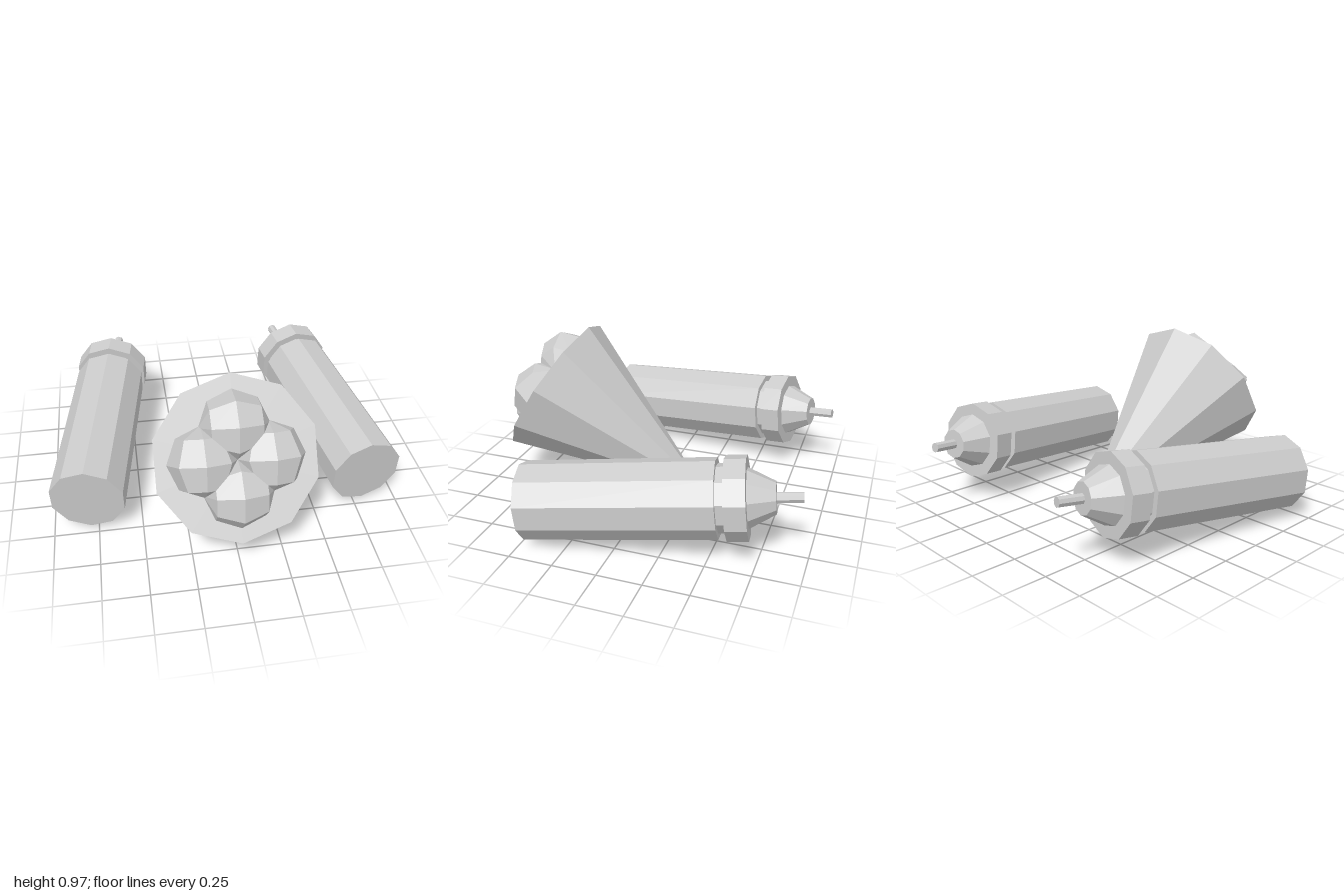
import * as THREE from 'three';

const grey = new THREE.MeshStandardMaterial({ color: 0xcccccc, flatShading: true });

function addMesh(parent, geometry, name) {
  const mesh = new THREE.Mesh(geometry, grey);
  mesh.name = name;
  parent.add(mesh);
  return mesh;
}

// Group whose local +z runs from one point towards another
function axisGroup(name, from, to) {
  const group = new THREE.Group();
  group.name = name;
  group.position.set(...from);
  group.lookAt(new THREE.Vector3(...to));
  return group;
}

// Closed faceted solid along local z from [radius, z] pairs
function turned(profile, sides) {
  const points = profile.map(([r, z]) => new THREE.Vector2(r, z));
  return new THREE.LatheGeometry(points, sides).rotateX(Math.PI / 2);
}

// Cone with its tip on the ground and four scoops on its tilted base
function makeCone() {
  const radius = 0.447, length = 1.132, scoopRadius = 0.188, scoopOffset = 0.177;
  const group = axisGroup('cone', [0, 0.5875, 0.6775], [0, 0.5875 + 0.519, 0.6775 + 0.855]);
  const shell = new THREE.ConeGeometry(radius, length, 10).rotateX(-Math.PI / 2);
  addMesh(group, shell.translate(0, 0, -length / 2), 'coneShell');

  for (let i = 0; i < 4; i++) {
    const scoop = new THREE.SphereGeometry(scoopRadius, 8, 4)
      .rotateZ(Math.PI / 2)
      .translate(0, scoopOffset, 0)
      .rotateZ(i * Math.PI / 2);
    addMesh(group, scoop, 'scoop' + (i + 1));
  }
  return group;
}

// Bottle lying on a slant; side is +1 for left, -1 for right
function makeBottle(side) {
  const group = axisGroup(side > 0 ? 'leftBottle' : 'rightBottle',
    [side * 0.797, 0.235, 0.49], [side * 0.545, 0.387, -0.955]);
  addMesh(group, turned([[0, 0], [0.213, 0], [0.213, 1.04], [0, 1.04]], 10), 'bottleBody');
  addMesh(group, turned([[0, 1.03], [0.18, 1.03], [0.18, 1.1], [0, 1.1]], 10), 'bottleNeck');
  addMesh(group, turned([[0, 1.083], [0.223, 1.083], [0.223, 1.195], [0, 1.195]], 10), 'collar');
  addMesh(group, turned([[0, 1.19], [0.16, 1.19], [0.085, 1.337], [0, 1.337]], 10), 'nozzle');
  addMesh(group, turned([[0, 1.33], [0.028, 1.33], [0.028, 1.475], [0, 1.475]], 8), 'nozzleTip');
  return group;
}

export function createModel() {
  const model = new THREE.Group();
  model.name = 'coneAndBottles';
  model.add(makeCone(), makeBottle(1), makeBottle(-1));
  return model;
}
